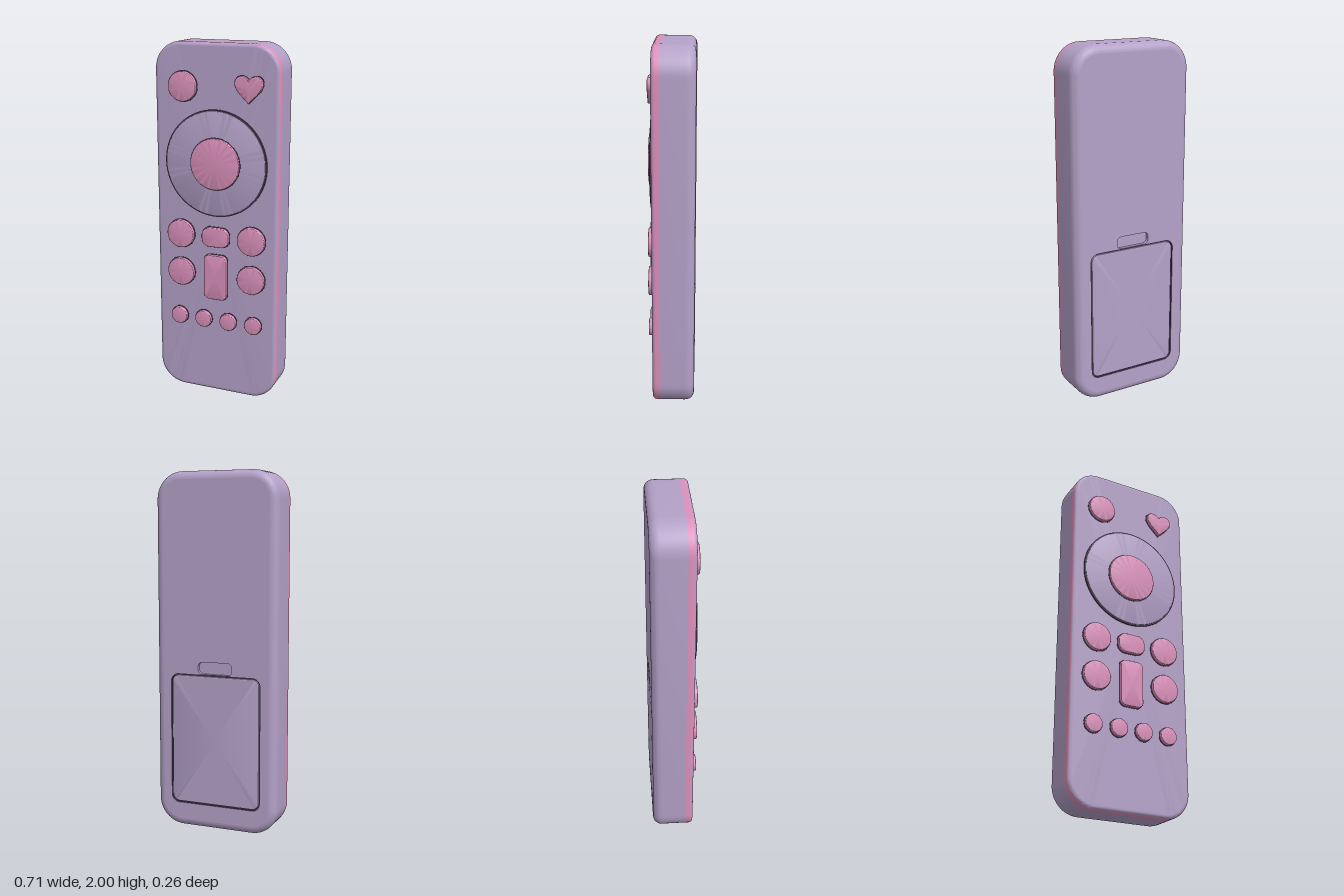
import * as THREE from 'three';
import { toCreasedNormals } from 'three/addons/utils/BufferGeometryUtils.js';

const lavender = new THREE.MeshStandardMaterial({ color: 0xb4a1c8 });
const pink = new THREE.MeshStandardMaterial({ color: 0xdb91bb });
const darkPlum = new THREE.MeshStandardMaterial({ color: 0x4b3e57 });
lavender.name = 'lavender';
pink.name = 'pink';
darkPlum.name = 'darkPlum';

// Rounded rectangle outline (half sizes w, h), counter-clockwise, shrunk by an inset
const roundRect = (w, h, r, n = 10) => (inset) => {
  const pts = [];
  const rad = Math.max(r - inset, 0.003);
  const cx = w - inset - rad, cy = h - inset - rad;
  [[1, 1], [-1, 1], [-1, -1], [1, -1]].forEach(([sx, sy], q) => {
    for (let i = 0; i <= n; i++) {
      const a = (q + i / n) * Math.PI / 2;
      pts.push([sx * cx + rad * Math.cos(a), sy * cy + rad * Math.sin(a)]);
    }
  });
  return pts;
};

const circle = (r, n = 64) => (inset) =>
  Array.from({ length: n }, (_, i) => {
    const a = i / n * Math.PI * 2;
    return [(r - inset) * Math.cos(a), (r - inset) * Math.sin(a)];
  });

// Heart outline, shrunk by scaling
const heart = (inset) => {
  const s = new THREE.Shape();
  s.moveTo(0, -0.075);
  s.bezierCurveTo(0.025, -0.045, 0.078, -0.01, 0.078, 0.028);
  s.bezierCurveTo(0.078, 0.075, 0.015, 0.08, 0, 0.042);
  s.bezierCurveTo(-0.015, 0.08, -0.078, 0.075, -0.078, 0.028);
  s.bezierCurveTo(-0.078, -0.01, -0.025, -0.045, 0, -0.075);
  const k = 1 - inset / 0.07;
  return s.getPoints(12).slice(0, -1).map((p) => [p.x * k, p.y * k]);
};

// Skin outlines along z; steps are [z, inset]; the bandOf rule picks a material per row
function loft(outline, steps, { start = true, end = true, bandOf = null } = {}) {
  const pos = [], idx = [];
  const geo = new THREE.BufferGeometry();
  const n = outline(0).length;
  for (const [z, inset] of steps) for (const [x, y] of outline(inset)) pos.push(x, y, z);
  const addGroup = (from, band) => geo.addGroup(from, idx.length - from, band);
  for (let j = 0; j < steps.length - 1; j++) {
    const from = idx.length;
    for (let i = 0; i < n; i++) {
      const a = j * n + i, b = j * n + (i + 1) % n;
      idx.push(a, b, b + n, a, b + n, a + n);
    }
    if (bandOf) addGroup(from, bandOf((steps[j][0] + steps[j + 1][0]) / 2));
  }
  const capFrom = idx.length;
  const cap = (row, flip) => {
    const c = pos.length / 3;
    pos.push(0, 0, steps[row][0]);
    for (let i = 0; i < n; i++) {
      const a = row * n + i, b = row * n + (i + 1) % n;
      idx.push(c, flip ? b : a, flip ? a : b);
    }
  };
  if (start) cap(0, true);
  if (end) cap(steps.length - 1, false);
  if (bandOf) addGroup(capFrom, 0);
  geo.setAttribute('position', new THREE.Float32BufferAttribute(pos, 3));
  geo.setIndex(idx);
  return toCreasedNormals(geo, 0.75);
}

// Quarter-round edge, from the side wall (t = 0) to the flat face (t = 1)
const edge = (z, depth, inset, n) => Array.from({ length: n + 1 }, (_, i) => {
  const a = i / n * Math.PI / 2;
  return [z + depth * Math.sin(a), inset * (1 - Math.cos(a))];
});

export function createModel() {
  const model = new THREE.Group();
  const add = (parent, name, geo, mat, x = 0, y = 0) => {
    const m = new THREE.Mesh(geo, mat);
    m.name = name;
    m.position.set(x, y, 0);
    parent.add(m);
    return m;
  };

  // Casing: softly rounded back edge, tighter front edge, pink band near the front
  const W = 0.357, H = 1, R = 0.15, BACK = -0.13;
  const casing = roundRect(W, H, R, 14);
  const shell = [
    ...edge(-0.08, -0.05, 0.045, 7).reverse(),
    [0.055, 0],
    ...edge(0.08, 0.02, 0.02, 5),
    [0.1, 0.024],
  ];
  add(model, 'casing', loft(casing, shell, {
    start: false, bandOf: (z) => (z > 0.055 && z < 0.092 ? 1 : 0),
  }), [lavender, pink], 0, 1);

  // Back face with openings for the battery cover and its finger notch
  const toPath = (pts, dy) => pts.map(([x, y]) => new THREE.Vector2(x, y + dy));
  const hatch = roundRect(0.265, 0.372, 0.045), hatchY = 0.512;
  const notch = roundRect(0.1, 0.034, 0.026), notchY = 0.923;
  const back = new THREE.Shape(toPath(casing(0.045), 0));
  back.holes.push(new THREE.Path(toPath(hatch(0), hatchY - 1)));
  back.holes.push(new THREE.Path(toPath(notch(0), notchY - 1)));
  const backGeo = new THREE.ShapeGeometry(back).rotateY(Math.PI).translate(0, 0, BACK);
  add(model, 'backFace', backGeo, lavender, 0, 1);

  const pocket = (outline, depth) => loft(outline, [[BACK + depth, 0], [BACK, 0]], { end: false });
  add(model, 'batteryRecess', pocket(hatch, 0.012), darkPlum, 0, hatchY);
  add(model, 'fingerNotch', pocket(notch, 0.02), lavender, 0, notchY);
  add(model, 'batteryCover', loft(hatch, [
    [BACK, 0.014], [BACK, 0.011], [BACK + 0.002, 0.008], [BACK + 0.011, 0.007],
  ]), lavender, 0, hatchY);

  // Raised keys with rounded rims, each on a thin dark seat
  const raised = (outline, z0, z1, bevel) => loft(outline, [
    [z0, 0], ...edge(z1 - bevel, bevel, bevel, 4), [z1, bevel + 0.002],
  ]);
  const key = (name, outline, x, y, z0 = 0.1, z1 = 0.122) => {
    const g = new THREE.Group();
    g.name = name;
    add(g, 'seat', loft(outline, [[z0 - 0.002, -0.004], [z0 + 0.003, -0.004]]), darkPlum, x, y);
    add(g, 'cap', raised(outline, z0, z1, 0.006), pink, x, y);
    model.add(g);
  };

  // Navigation dial
  add(model, 'dialRim', loft(circle(0.295, 96), [[0.098, 0], [0.109, 0]]), darkPlum, 0, 1.355);
  add(model, 'dial', raised(circle(0.287, 96), 0.1, 0.112, 0.002), lavender, 0, 1.355);
  key('selectButton', circle(0.142, 72), 0, 1.355, 0.111, 0.127);

  // Top row
  key('powerButton', circle(0.081), -0.19, 1.765);
  key('heartButton', heart, 0.19, 1.768);

  // Middle cluster
  for (const side of [-1, 1]) {
    for (const y of [0.94, 0.715]) key('roundButton', circle(0.08), side * 0.21, y);
  }
  key('pillButton', roundRect(0.08, 0.055, 0.045), 0, 0.94);
  key('rockerButton', roundRect(0.068, 0.131, 0.032), 0, 0.705);

  // Bottom row
  for (let i = 0; i < 4; i++) key('smallButton', circle(0.049, 48), -0.225 + i * 0.15, 0.445);

  return model;
}
